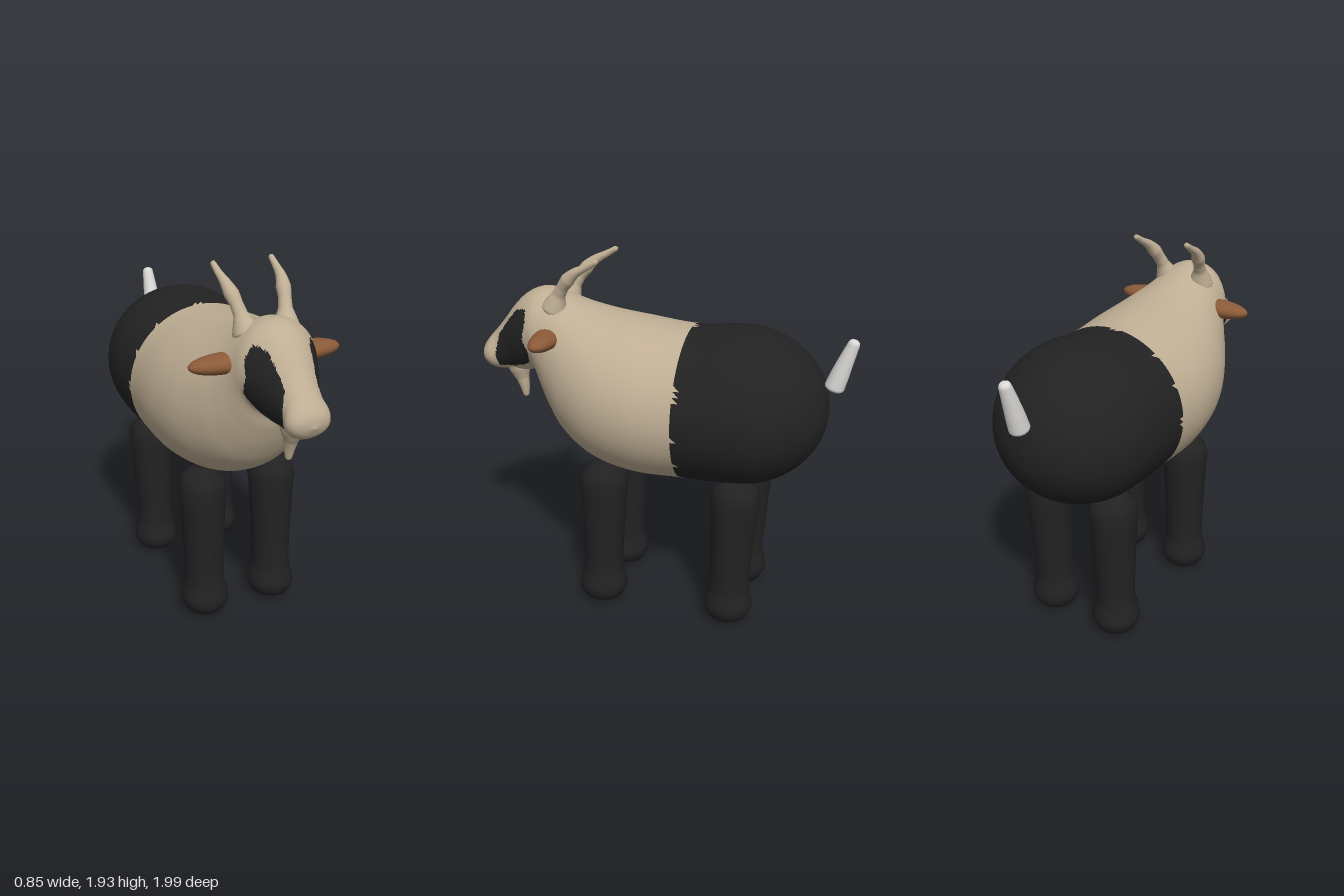
import * as THREE from 'three';
import { mergeVertices } from 'three/addons/utils/BufferGeometryUtils.js';

const V = (x, y, z) => new THREE.Vector3(x, y, z);
const material = (name, color) => {
  const m = new THREE.MeshStandardMaterial({ color });
  m.name = name;
  return m;
};

// Body stations from chest to nose: top z, top y, bottom z, bottom y, half width
const STATIONS = [
  [-0.42, 1.61, -0.42, 0.79, 0.425], [-0.16, 1.59, -0.16, 0.785, 0.42], [0.1, 1.615, 0.1, 0.785, 0.425],
  [0.28, 1.64, 0.32, 0.835, 0.39], [0.42, 1.675, 0.49, 0.945, 0.32], [0.5, 1.705, 0.58, 1.07, 0.265],
  [0.56, 1.73, 0.64, 1.2, 0.225], [0.65, 1.735, 0.675, 1.295, 0.2], [0.73, 1.7, 0.725, 1.275, 0.17],
  [0.8, 1.635, 0.77, 1.27, 0.142], [0.86, 1.56, 0.82, 1.27, 0.115], [0.91, 1.5, 0.87, 1.265, 0.103],
  [0.955, 1.45, 0.92, 1.268, 0.11], [0.988, 1.405, 0.965, 1.29, 0.085], [1.0, 1.345, 1.0, 1.345, 0],
];

// Outline of the dark eye patch, as z, y
const PATCH = [[0.69, 1.65], [0.755, 1.63], [0.81, 1.57], [0.875, 1.485], [0.9, 1.365], [0.89, 1.3],
  [0.8, 1.31], [0.69, 1.355], [0.67, 1.42], [0.7, 1.5], [0.68, 1.59]];

function inPatch(z, y) {
  let inside = false;
  PATCH.forEach(([z1, y1], i) => {
    const [z2, y2] = PATCH[(i + 1) % PATCH.length];
    if ((y1 > y) !== (y2 > y) && z < z1 + ((y - y1) / (y2 - y1)) * (z2 - z1)) inside = !inside;
  });
  return inside;
}

// One smooth skin from rump to nose, its faces sorted into named parts
function buildSkin() {
  const rows = [];
  for (let d = 90; d > 0; d -= 15) {
    const s = Math.sin(d * Math.PI / 180), c = d === 90 ? 0 : Math.cos(d * Math.PI / 180);
    const z = -0.42 - 0.455 * s;
    rows.push([z, 1.2 + 0.41 * c, z, 1.2 - 0.41 * c, 0.425 * c]);
  }
  rows.push(...STATIONS);
  const top = new THREE.CatmullRomCurve3(rows.map(r => V(r[4], r[1], r[0])));
  const bottom = new THREE.CatmullRomCurve3(rows.map(r => V(r[4], r[3], r[2])));
  const rings = (rows.length - 1) * 8, sides = 88, pos = [], index = [];
  for (let i = 0; i <= rings; i++) {
    const a = top.getPoint(i / rings), b = bottom.getPoint(i / rings);
    for (let j = 0; j < sides; j++) {
      const t = (j / sides) * Math.PI * 2, k = (1 + Math.cos(t)) / 2;
      pos.push(a.x * Math.sin(t), b.y + (a.y - b.y) * k, b.z + (a.z - b.z) * k);
    }
  }
  for (let i = 0; i < rings; i++) {
    for (let j = 0; j < sides; j++) {
      const a = i * sides + j, b = i * sides + (j + 1) % sides;
      index.push(a, a + sides, b, b, a + sides, b + sides);
    }
  }
  const geo = new THREE.BufferGeometry();
  geo.setAttribute('position', new THREE.Float32BufferAttribute(pos, 3));
  geo.setIndex(index);
  geo.computeVertexNormals();

  const parts = { rump: [], chestAndHead: [], eyePatches: [] };
  for (let f = 0; f < index.length; f += 3) {
    const tri = index.slice(f, f + 3);
    const mid = k => tri.reduce((s, v) => s + pos[v * 3 + k], 0) / 3;
    const x = mid(0), y = mid(1), z = mid(2);
    const edge = -0.165 + 0.008 * Math.sin(y * 31 + x * 17);
    const name = z < edge ? 'rump' : Math.abs(x) > 0.075 && inPatch(z, y) ? 'eyePatches' : 'chestAndHead';
    parts[name].push(...tri);
  }
  for (const name in parts) {
    const part = new THREE.BufferGeometry();
    part.setAttribute('position', geo.attributes.position);
    part.setAttribute('normal', geo.attributes.normal);
    part.setIndex(parts[name]);
    parts[name] = part;
  }
  return parts;
}

// Tube with changing radius and rounded ends
function taperedTube(points, radii, cap = 0.08) {
  const curve = new THREE.CatmullRomCurve3(points), steps = 40, sides = 16;
  const geo = new THREE.TubeGeometry(curve, steps, 1, sides);
  const p = geo.attributes.position, n = geo.attributes.normal;
  for (let i = 0; i < p.count; i++) {
    const u = Math.floor(i / (sides + 1)) / steps;
    const s = u * (radii.length - 1), k = Math.min(Math.floor(s), radii.length - 2);
    const e = Math.max(0, 1 - Math.min(u, 1 - u) / cap);
    const r = THREE.MathUtils.lerp(radii[k], radii[k + 1], s - k) * Math.sqrt(1 - e * e);
    const c = curve.getPointAt(u);
    p.setXYZ(i, c.x + n.getX(i) * r, c.y + n.getY(i) * r, c.z + n.getZ(i) * r);
  }
  geo.deleteAttribute('uv');
  geo.deleteAttribute('normal');
  const merged = mergeVertices(geo, 1e-5);
  merged.computeVertexNormals();
  return merged;
}

export function createModel() {
  const model = new THREE.Group();
  model.name = 'goat';
  const cream = material('cream', 0xbfae94);
  const black = material('black', 0x222222);
  const brown = material('brown', 0x8b5a38);
  const white = material('white', 0xdcdad7);
  const add = (name, geo, mat) => {
    const mesh = new THREE.Mesh(geo, mat);
    mesh.name = name;
    model.add(mesh);
    return mesh;
  };

  const skin = buildSkin();
  add('rump', skin.rump, black);
  add('chestAndHead', skin.chestAndHead, cream);
  add('eyePatches', skin.eyePatches, black);

  // Legs with a swollen foot, leaning slightly forward to the ground
  const legProfile = [[0, 0.005], [0.06, 0.015], [0.105, 0.045], [0.126, 0.09], [0.126, 0.125], [0.112, 0.18],
    [0.102, 0.225], [0.104, 0.35], [0.118, 0.68], [0.126, 0.76], [0.108, 0.82], [0.065, 0.855], [0, 0.865]];
  const leg = new THREE.LatheGeometry(legProfile.map(([r, y]) => new THREE.Vector2(r, y)), 18);
  const lp = leg.attributes.position;
  for (let i = 0; i < lp.count; i++) lp.setZ(i, lp.getZ(i) * 1.04 + 0.025 * (1 - lp.getY(i) / 0.865));
  leg.computeVertexNormals();

  for (const [side, s] of [['left', 1], ['right', -1]]) {
    add(side + 'FrontLeg', leg, black).position.set(s * 0.2, 0, 0.26);
    add(side + 'BackLeg', leg, black).position.set(s * 0.2, 0, -0.457);

    // Ears
    const ear = add(side + 'Ear', new THREE.SphereGeometry(1, 28, 18), brown);
    ear.scale.set(0.18, 0.048, 0.07);
    ear.position.set(s * 0.213, 1.528, 0.545);

    // Horns swept backwards
    add(side + 'Horn', taperedTube([
      V(s * 0.1, 1.64, 0.55), V(s * 0.115, 1.73, 0.51), V(s * 0.13, 1.8, 0.465),
      V(s * 0.143, 1.855, 0.41), V(s * 0.15, 1.895, 0.34), V(s * 0.152, 1.93, 0.28),
    ], [0.075, 0.055, 0.034, 0.031, 0.036, 0.027, 0.02, 0.016, 0.013], 0.04), cream);
  }

  // Beard and tail
  add('beard', taperedTube([V(0, 1.32, 0.82), V(0, 1.24, 0.805), V(0, 1.17, 0.79), V(0, 1.1, 0.782)],
    [0.07, 0.058, 0.036, 0.025, 0.014]), cream);
  add('tail', taperedTube([V(0, 1.325, -0.883), V(0, 1.46, -0.925), V(0, 1.6, -0.972)],
    [0.052, 0.046, 0.037, 0.027]), white);

  return model;
}
